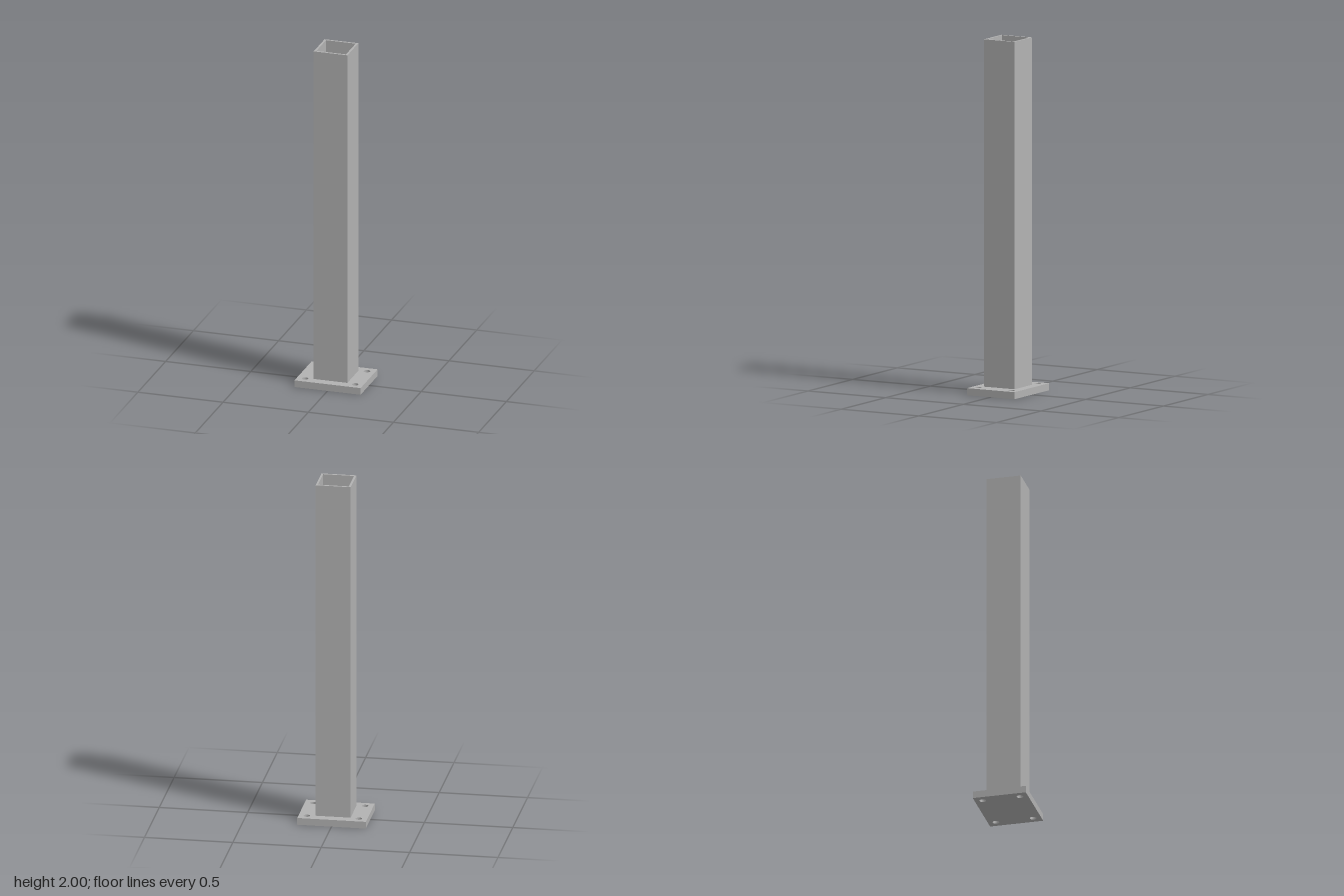
import * as THREE from 'three';

const PLATE = { x: 0.194, z: 0.153, height: 0.04 };
const POST = { outer: 0.099, inner: 0.087, top: 2 };
const BOLT = { x: 0.147, z: 0.107, radius: 0.0185 };

// Adds a centred rectangle, given by its half sizes, to a shape or path
function rectangle(path, hx, hy) {
  path.moveTo(-hx, -hy);
  path.lineTo(hx, -hy);
  path.lineTo(hx, hy);
  path.lineTo(-hx, hy);
  path.closePath();
  return path;
}

// Extrudes a ground plan upwards from y0 to y1
function extrudeUp(shape, y0, y1) {
  const geometry = new THREE.ExtrudeGeometry(shape, {
    depth: y1 - y0, bevelEnabled: false, curveSegments: 32,
  });
  return geometry.rotateX(-Math.PI / 2).translate(0, y0, 0);
}

export function createModel() {
  const group = new THREE.Group();
  group.name = 'postWithBasePlate';
  const steel = new THREE.MeshStandardMaterial({ color: 0xb2b2b2 });
  steel.name = 'grey steel';

  // Base plate with four bolt holes
  const plan = rectangle(new THREE.Shape(), PLATE.x, PLATE.z);
  for (const sx of [-1, 1]) {
    for (const sz of [-1, 1]) {
      const hole = new THREE.Path();
      hole.absarc(sx * BOLT.x, sz * BOLT.z, BOLT.radius, 0, Math.PI * 2, true);
      plan.holes.push(hole);
    }
  }
  const basePlate = new THREE.Mesh(extrudeUp(plan, 0, PLATE.height), steel);
  basePlate.name = 'basePlate';

  // Hollow square post, open at the top
  const section = rectangle(new THREE.Shape(), POST.outer, POST.outer);
  section.holes.push(rectangle(new THREE.Path(), POST.inner, POST.inner));
  const post = new THREE.Mesh(extrudeUp(section, PLATE.height, POST.top), steel);
  post.name = 'hollowPost';

  group.add(basePlate, post);
  return group;
}
